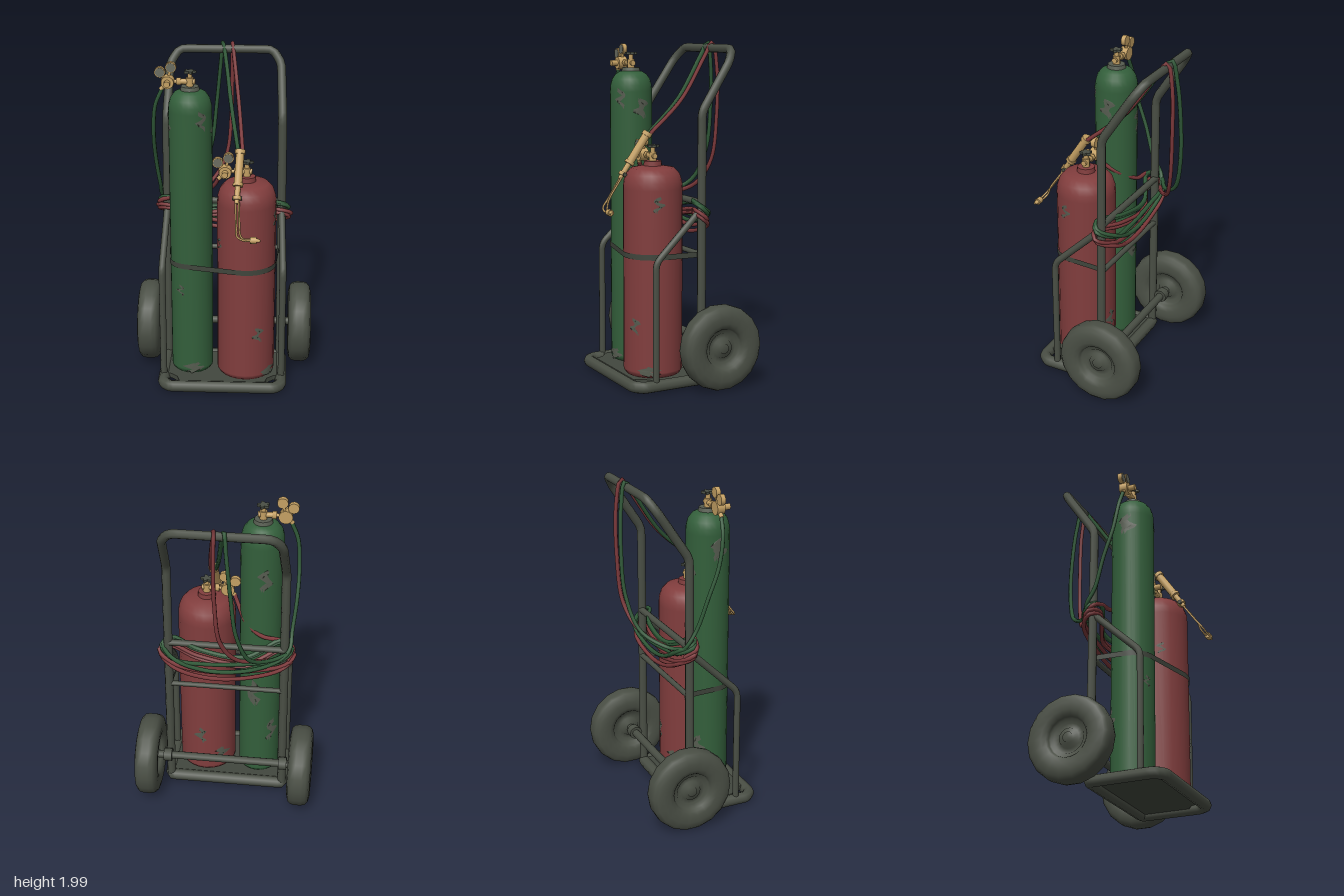
import * as THREE from 'three';

const mat = (name, color, side = THREE.FrontSide) => {
  const m = new THREE.MeshStandardMaterial({ color, side });
  m.name = name;
  return m;
};
const V = (p) => new THREE.Vector3(...p);

export function createModel() {
  const root = new THREE.Group();
  root.name = 'gasCylinderCart';
  const steel = mat('darkSteel', 0x4a4f45);
  const strapMat = mat('strapGrey', 0x40453c, THREE.DoubleSide);
  const plateMat = mat('plateGrey', 0x42473e);
  const green = mat('greenPaint', 0x335f3b);
  const red = mat('redPaint', 0x813d3d);
  const worn = mat('wornMetal', 0x565c50);
  const brass = mat('brass', 0xc4a063);
  const glass = mat('gaugeGrey', 0x6a6c60);
  const greenHose = mat('greenHose', 0x2f5837);
  const redHose = mat('redHose', 0x7c383a);

  const add = (name, geo, m, pos = [0, 0, 0], parent = root) => {
    const mesh = new THREE.Mesh(geo, m);
    mesh.name = name;
    mesh.position.set(...pos);
    parent.add(mesh);
    return mesh;
  };
  // straight round rod between two points
  const rod = (name, a, b, r, m, parent = root, r2 = r, sides = 10) => {
    const A = V(a), B = V(b), d = B.clone().sub(A);
    const mesh = add(name, new THREE.CylinderGeometry(r2, r, d.length(), sides), m,
      A.clone().add(B).multiplyScalar(0.5).toArray(), parent);
    mesh.quaternion.setFromUnitVectors(new THREE.Vector3(0, 1, 0), d.normalize());
    return mesh;
  };
  // bent pipe: straight runs with tight bends
  const pipe = (name, pts, r, bend = 0.03, segs = 70, closed = false) => {
    const path = new THREE.CurvePath();
    const P = pts.map(V);
    let prev = P[0];
    for (let i = 1; i < P.length - 1; i++) {
      const a = P[i].clone().add(P[i - 1].clone().sub(P[i]).setLength(bend));
      const b = P[i].clone().add(P[i + 1].clone().sub(P[i]).setLength(bend));
      path.add(new THREE.LineCurve3(prev, a));
      path.add(new THREE.QuadraticBezierCurve3(a, P[i], b));
      prev = b;
    }
    path.add(new THREE.LineCurve3(prev, P[P.length - 1]));
    return add(name, new THREE.TubeGeometry(path, segs, r, 8, closed), steel);
  };
  const hose = (name, pts, m, closed = false) => add(name,
    new THREE.TubeGeometry(new THREE.CatmullRomCurve3(pts.map(V), closed), pts.length * 6, 0.0125, 6, closed), m);
  const lathe = (pts, n) => new THREE.LatheGeometry(pts.map((p) => new THREE.Vector2(...p)), n);

  // base rails and floor plate
  pipe('baseRail', [[0, 0.045, 0.308], [0.31, 0.045, 0.308], [0.352, 0.045, 0.265], [0.352, 0.045, -0.11],
    [-0.352, 0.045, -0.11], [-0.352, 0.045, 0.265], [-0.31, 0.045, 0.308], [0, 0.045, 0.308]], 0.035, 0.02, 120, true);
  const floor = new THREE.Shape([[-0.34, -0.11], [0.34, -0.11], [0.34, 0.19], [0.305, 0.205], [0.27, 0.235], [0.25, 0.3],
    [-0.25, 0.3], [-0.27, 0.235], [-0.305, 0.205], [-0.34, 0.19]].map((p) => new THREE.Vector2(...p)));
  add('floorPlate', new THREE.ExtrudeGeometry(floor, { depth: 0.03, bevelEnabled: false }).rotateX(Math.PI / 2),
    plateMat, [0, 0.07, 0]);

  // handle frame, side braces, cross bars
  const side = (s) => [[0.348 * s, 0.05, -0.108], [0.338 * s, 1.6, -0.11], [0.326 * s, 1.88, -0.295], [0.275 * s, 1.95, -0.34]];
  pipe('handleFrame', [...side(-1), ...side(1).reverse()], 0.026, 0.035, 140);
  for (const s of [-1, 1]) {
    pipe('sideBrace', [[0.355 * s, 0.05, 0.192], [0.355 * s, 0.76, 0.192], [0.342 * s, 1.05, -0.11]], 0.02, 0.04, 50);
  }
  rod('upperCrossBar', [-0.34, 1.08, -0.115], [0.34, 1.08, -0.115], 0.02, steel);
  rod('lowerCrossBar', [-0.34, 0.78, -0.115], [0.34, 0.78, -0.115], 0.016, steel);

  // axle and wheels
  rod('axle', [-0.46, 0.256, -0.167], [0.46, 0.256, -0.167], 0.024, steel);
  const half = [[0.03, 0.045], [0.03, 0.035], [0.055, 0.035], [0.06, 0.022], [0.085, 0.022], [0.09, 0.03],
    [0.11, 0.03], [0.115, 0.045], [0.125, 0.058], [0.15, 0.068], [0.19, 0.07], [0.225, 0.062], [0.243, 0.045], [0.249, 0.02]];
  const profile = [[0, -0.045], ...half.map(([r, y]) => [r, -y]), ...half.slice().reverse(), [0, 0.045]];
  for (const s of [-1, 1]) {
    add('wheel', lathe(profile, 18).rotateZ(Math.PI / 2), steel, [0.464 * s, 0.256, -0.167]);
    rod('axleCollar', [0.33 * s, 0.256, -0.167], [0.38 * s, 0.256, -0.167], 0.04, steel);
  }

  // gas cylinders
  const G = { x: -0.187, z: 0.073, r: 0.125, top: 1.83 };
  const R = { x: 0.138, z: 0.099, r: 0.172, top: 1.31 };
  add('greenCylinder', lathe([[0, 0.07], [0.112, 0.07], [0.125, 0.09], [0.125, 0.1], [0.125, 1.7], [0.122, 1.735],
    [0.112, 1.77], [0.09, 1.8], [0.062, 1.815], [0, 1.82]], 24), green, [G.x, 0, G.z]);
  add('redCylinder', lathe([[0, 0.07], [0.158, 0.07], [0.172, 0.09], [0.172, 0.1], [0.172, 1.16], [0.169, 1.2],
    [0.155, 1.242], [0.125, 1.275], [0.06, 1.287], [0, 1.29]], 24), red, [R.x, 0, R.z]);
  add('greenNeckRing', new THREE.CylinderGeometry(0.05, 0.058, 0.03, 16), worn, [G.x, 1.822, G.z]);
  add('redNeckRing', new THREE.CylinderGeometry(0.05, 0.055, 0.04, 16), red, [R.x, 1.295, R.z]);

  // worn paint: ragged patches wrapped on the cylinder walls
  const patch = (c, ang, y, w, h, seed) => {
    const g = new THREE.PlaneGeometry(1, 1, 8, 7), p = g.attributes.position;
    for (let i = 0; i < p.count; i++) {
      const u = p.getX(i), v = p.getY(i);
      const rag = Math.sqrt(Math.max(0, 1 - 3.6 * v * v)) * (0.75 + 0.3 * Math.sin(seed + v * 13));
      const a = ang + (u * w * rag + 0.02 * Math.sin(seed * 3 + v * 9)) / c.r;
      const rr = c.r + 0.002;
      p.setXYZ(i, Math.sin(a) * rr, y + h * v * (1 + 0.25 * Math.sin(u * 9 + seed)), Math.cos(a) * rr);
    }
    g.computeVertexNormals();
    add('wornPatch', g, worn, [c.x, 0, c.z]);
  };
  [[0.15, 0.11, 0.13, 0.06], [0.6, 1.66, 0.05, 0.1], [-1.5, 1.62, 0.1, 0.11], [1.6, 1.6, 0.08, 0.1], [3.4, 1.5, 0.07, 0.12],
    [2.9, 0.7, 0.08, 0.16], [-2.4, 0.4, 0.07, 0.14], [-0.5, 0.62, 0.03, 0.06]].forEach((a, i) => patch(G, ...a, i + 1));
  [[0.45, 0.37, 0.05, 0.08], [-1.1, 0.92, 0.03, 0.06], [0.95, 0.11, 0.14, 0.05], [1.3, 1.08, 0.05, 0.08], [3, 0.35, 0.06, 0.1],
    [-2.5, 0.2, 0.09, 0.07]].forEach((a, i) => patch(R, ...a, i + 4));

  // strap: ribbon around the fronts of both cylinders, ends on the uprights
  const line = [[0.33, -0.11]];
  const arc = (c, a0, a1) => {
    for (let i = 0; i <= 12; i++) {
      const a = THREE.MathUtils.degToRad(a0 + (a1 - a0) * i / 12);
      line.push([c.x + Math.cos(a) * (c.r + 0.005), c.z + Math.sin(a) * (c.r + 0.005)]);
    }
  };
  arc(R, 0, 102.7);
  arc(G, 102.7, 180);
  line.push([-0.33, -0.11]);
  const ribbon = new THREE.PlaneGeometry(1, 0.032, line.length - 1, 1), rp = ribbon.attributes.position;
  for (let i = 0; i < rp.count; i++) {
    const [x, z] = line[i % line.length];
    rp.setXYZ(i, x, 0.78 + rp.getY(i), z);
  }
  ribbon.computeVertexNormals();
  add('strap', ribbon, strapMat);

  // valve with star handwheel, regulator and two gauges
  const star = new THREE.Shape(Array.from({ length: 20 }, (_, i) => {
    const a = i / 20 * Math.PI * 2, r = [0.038, 0.03, 0.02, 0.03][i % 4];
    return new THREE.Vector2(Math.cos(a) * r, Math.sin(a) * r);
  }));
  const valve = (name, c) => {
    const g = new THREE.Group();
    g.name = name;
    g.position.set(c.x, c.top, c.z);
    root.add(g);
    rod('valveBody', [0, -0.01, 0], [0, 0.055, 0], 0.022, brass, g);
    rod('valveNeck', [0, 0.05, 0], [0, 0.095, 0], 0.014, brass, g);
    rod('valveOutlet', [0.03, 0.032, 0], [-0.06, 0.032, 0], 0.016, brass, g);
    rod('outletNut', [-0.05, 0.032, 0], [-0.075, 0.032, 0], 0.022, brass, g, 0.022, 6);
    rod('outletPipe', [-0.07, 0.032, 0], [-0.13, 0.03, 0], 0.011, brass, g);
    add('handwheel', new THREE.ExtrudeGeometry(star, { depth: 0.014, bevelEnabled: false }).rotateX(Math.PI / 2),
      steel, [0, 0.096, 0], g);
    rod('regulatorBody', [-0.125, 0.03, -0.02], [-0.125, 0.03, 0.03], 0.04, brass, g, 0.036, 14);
    rod('regulatorKnob', [-0.125, 0.03, 0.03], [-0.125, 0.03, 0.07], 0.018, brass, g);
    rod('hoseFitting', [-0.125, 0.03, 0], [-0.165, -0.015, 0.005], 0.013, brass, g);
    for (const [x, y] of [[-0.168, 0.085], [-0.106, 0.113]]) {
      rod('gaugeStem', [-0.125, 0.03, -0.002], [x, y, -0.002], 0.009, brass, g);
      rod('gauge', [x, y, -0.014], [x, y, 0.012], 0.031, brass, g, 0.031, 14);
      rod('gaugeFace', [x, y, 0.01], [x, y, 0.014], 0.026, glass, g, 0.026, 14);
    }
  };
  valve('greenValve', G);
  valve('redValve', R);

  // cutting torch
  const torch = new THREE.Group();
  torch.name = 'torch';
  root.add(torch);
  const A = V([0.1, 1.475, 0.11]), B = V([0.085, 1.215, 0.285]);
  const at = (t) => A.clone().lerp(B, t).toArray();
  [[0, 0.08, 0.03], [0.08, 0.62, 0.024], [0.62, 0.68, 0.03], [0.68, 0.86, 0.016], [0.86, 0.93, 0.024], [0.93, 1, 0.013]]
    .forEach(([a, b, r]) => rod('torchHandle', at(a), at(b), r, brass, torch));
  rod('torchKnob', [0.06, 1.24, 0.265], [0.115, 1.24, 0.265], 0.012, steel, torch);
  for (const o of [-0.009, 0.009]) {
    const tip = new THREE.CatmullRomCurve3([[0.088 + o, 1.22, 0.28], [0.095 + o, 1.1, 0.363], [0.1 + o, 1.06, 0.385 - o],
      [0.125, 1.042, 0.395 - o], [0.17, 1.04, 0.397 - o]].map(V));
    add('torchTube', new THREE.TubeGeometry(tip, 20, 0.006, 6), brass, [0, 0, 0], torch);
  }
  rod('torchHead', [0.165, 1.04, 0.397], [0.2, 1.04, 0.397], 0.019, brass, torch);
  rod('torchNozzle', [0.2, 1.04, 0.397], [0.222, 1.038, 0.402], 0.013, brass, torch, 0.008);

  // hoses from the regulators to the coil
  hose('greenSupplyHose', [[-0.345, 1.82, 0.078], [-0.385, 1.72, 0.07], [-0.4, 1.55, 0.04], [-0.397, 1.38, -0.02],
    [-0.38, 1.2, -0.08], [-0.37, 1.1, -0.14], [-0.3, 1.03, -0.17]], greenHose);
  hose('redSupplyHose', [[-0.025, 1.3, 0.104], [-0.05, 1.25, 0.075], [-0.1, 1.19, 0], [-0.2, 1.13, -0.058],
    [-0.33, 1.11, -0.065], [-0.39, 1.08, -0.09], [-0.36, 1.03, -0.15]], redHose);
  // hoses from the coil over the handle to the torch
  hose('greenTorchHose', [[-0.36, 1.08, -0.15], [-0.27, 1.07, -0.21], [-0.16, 1.15, -0.33], [-0.09, 1.35, -0.39], [-0.06, 1.6, -0.4],
    [-0.035, 1.85, -0.385], [-0.02, 1.985, -0.355], [0, 1.9, -0.29], [0.04, 1.66, -0.12], [0.088, 1.46, 0.11]], greenHose);
  hose('redTorchHose', [[-0.34, 1.04, -0.15], [-0.24, 1.06, -0.2], [-0.09, 1.13, -0.31], [0, 1.28, -0.37], [0.03, 1.55, -0.39],
    [0.035, 1.85, -0.385], [0.035, 1.985, -0.355], [0.05, 1.9, -0.29], [0.085, 1.66, -0.12], [0.113, 1.46, 0.11]], redHose);
  // coil: sagging loops hung around the uprights
  [[1.09, 0.98, 0.385, -0.17], [1.05, 0.92, 0.4, -0.16], [1.1, 0.94, 0.375, -0.18], [1.03, 0.88, 0.39, -0.17]].forEach(([y, dip, w, z], i) => {
    hose('coiledHose', [[-w, y, -0.11], [-w + 0.05, y - 0.04, z], [-0.15, dip + 0.03, z - 0.005], [0.1, dip, z], [0.3, y - 0.09, z],
      [w, y - 0.04, -0.1], [w - 0.05, y - 0.01, -0.07], [0.16, y - 0.03, -0.145], [-0.12, y - 0.06, -0.15], [-w + 0.06, y + 0.015, -0.068]],
    i % 2 ? redHose : greenHose, true);
  });
  return root;
}
